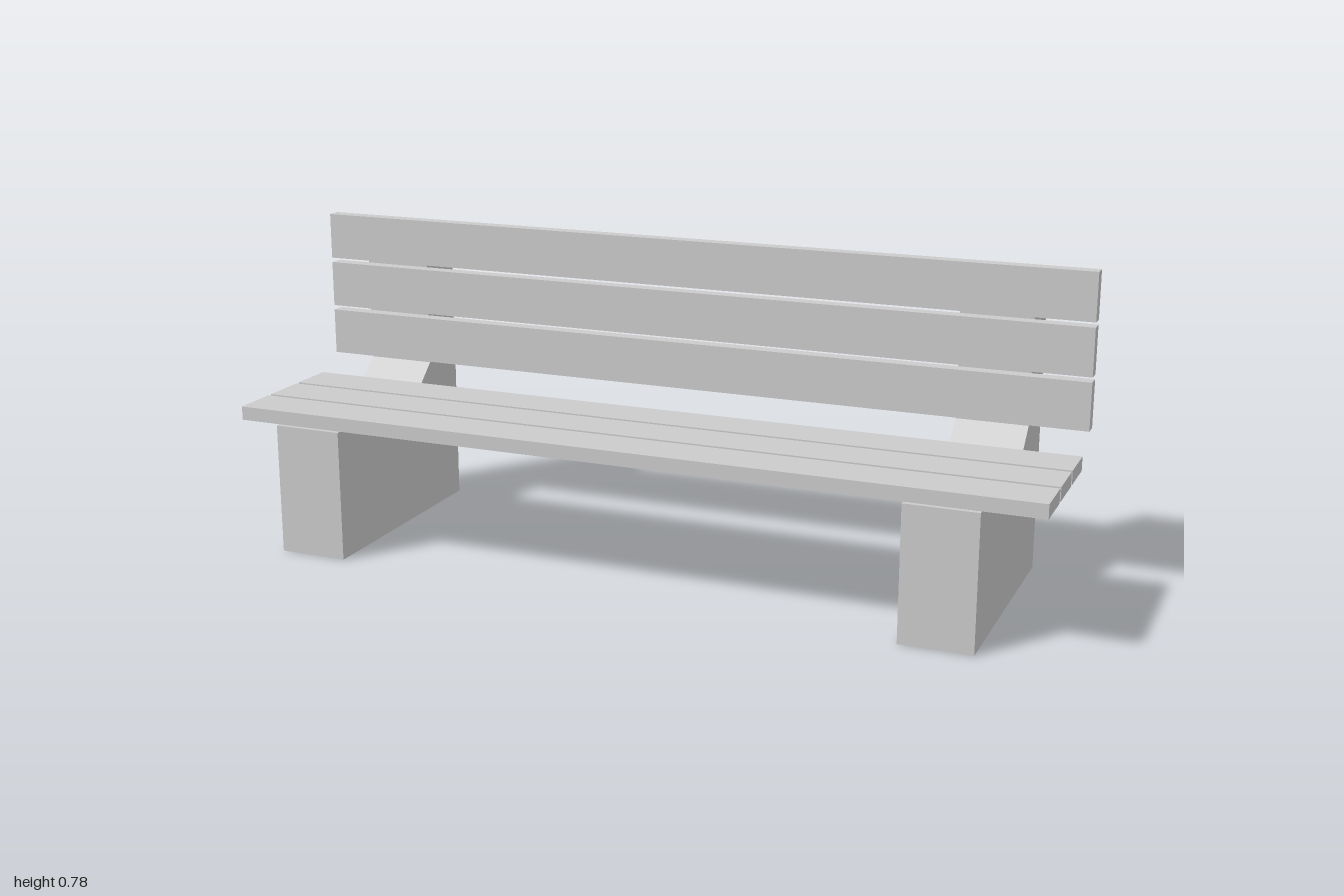
import * as THREE from 'three';

const SLAT_LENGTH = 2;
const SLAT_WIDTH = 0.116;
const SLAT_THICKNESS = 0.034;
const SUPPORT_WIDTH = 0.174;

export function createModel() {
  const bench = new THREE.Group();
  bench.name = 'bench';
  const material = new THREE.MeshStandardMaterial({ color: 0xcccccc, flatShading: true });

  const add = (name, geometry, x, y, z) => {
    const mesh = new THREE.Mesh(geometry, material);
    mesh.name = name;
    mesh.position.set(x, y, z);
    bench.add(mesh);
  };

  // L-shaped concrete supports: side profile as (z, y), extruded across x
  const profile = new THREE.Shape([
    [0.295, 0], [0.295, 0.327], [-0.092, 0.327], [-0.168, 0.397],
    [-0.168, 0.74], [-0.306, 0.74], [-0.306, 0],
  ].map(([z, y]) => new THREE.Vector2(z, y)));
  const supportGeometry = new THREE.ExtrudeGeometry(profile, { depth: SUPPORT_WIDTH, bevelEnabled: false });
  supportGeometry.translate(0, 0, -SUPPORT_WIDTH / 2);
  supportGeometry.rotateY(-Math.PI / 2);
  add('rightSupport', supportGeometry, -0.822, 0, 0);
  add('leftSupport', supportGeometry, 0.767, 0, 0);

  // Three seat slats lying flat, three backrest slats standing upright
  const seatGeometry = new THREE.BoxGeometry(SLAT_LENGTH, SLAT_THICKNESS, SLAT_WIDTH);
  const backGeometry = new THREE.BoxGeometry(SLAT_LENGTH, SLAT_WIDTH, SLAT_THICKNESS);
  for (let i = 0; i < 3; i++) {
    add(`seatSlat${i + 1}`, seatGeometry, 0, 0.352, 0.249 - i * 0.127);
    add(`backSlat${i + 1}`, backGeometry, 0, 0.466 + i * 0.128, -0.151);
  }

  return bench;
}
